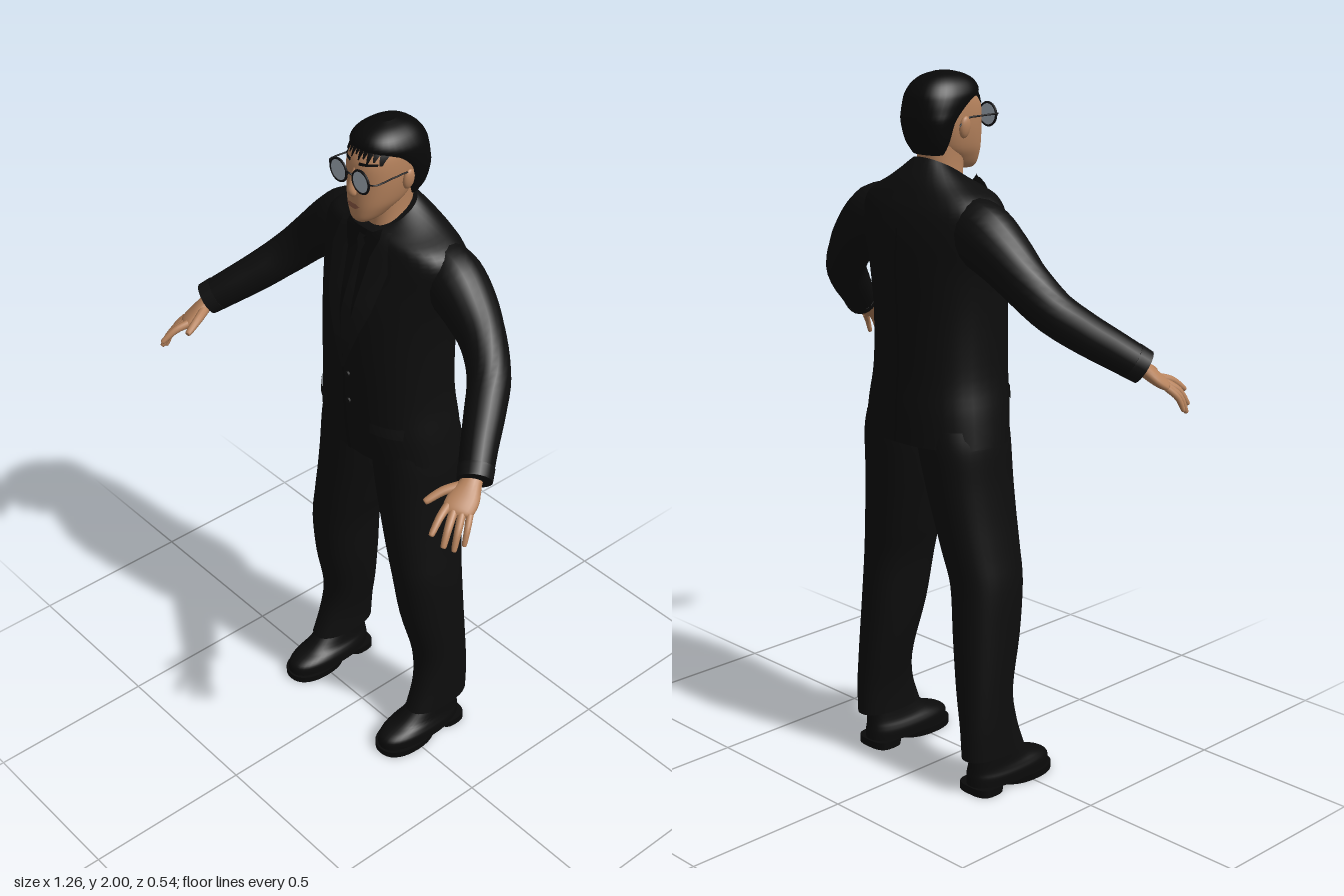
import * as THREE from 'three';

const mat = (name, color) => {
  const m = new THREE.MeshStandardMaterial({ color, side: THREE.DoubleSide });
  m.name = name;
  return m;
};

// Closed surface through rings of points (with flat end caps)
function skin(rings) {
  const n = rings[0].length, pos = [], idx = [];
  rings.forEach(r => r.forEach(p => pos.push(p.x, p.y, p.z)));
  for (let i = 0; i < rings.length - 1; i++) for (let j = 0; j < n; j++) {
    const a = i * n + j, b = i * n + (j + 1) % n;
    idx.push(a, a + n, b, b, a + n, b + n);
  }
  [rings[0], rings[rings.length - 1]].forEach((r, end) => {
    const base = pos.length / 3, c = new THREE.Vector3();
    r.forEach(p => { pos.push(p.x, p.y, p.z); c.addScaledVector(p, 1 / n); });
    pos.push(c.x, c.y, c.z);
    for (let j = 0; j < n; j++) {
      const k = base + (j + 1) % n;
      idx.push(base + n, end ? k : base + j, end ? base + j : k);
    }
  });
  const g = new THREE.BufferGeometry();
  g.setAttribute('position', new THREE.Float32BufferAttribute(pos, 3));
  g.setIndex(idx);
  g.computeVertexNormals();
  return g;
}

// Smoothly subdivide rows of numbers
function smooth(rows, k = 4) {
  const out = [], at = i => rows[Math.max(0, Math.min(rows.length - 1, i))];
  for (let i = 0; i < rows.length - 1; i++) for (let s = 0; s < k; s++) {
    const t = s / k;
    out.push(rows[i].map((b, c) => {
      const a = at(i - 1)[c], d = at(i + 1)[c], e = at(i + 2)[c];
      return b + 0.5 * t * (d - a + t * (2 * a - 5 * b + 4 * d - e + t * (3 * (b - d) + e - a)));
    }));
  }
  out.push(rows[rows.length - 1]);
  return out;
}

// Upright body from rows [y, centreX, halfWidth, zFront, zBack, tilt]
function loft(rows, p = 2.3, n = 36) {
  return skin(rows.map(([y, cx, hx, zf, zb, tilt = 0]) => Array.from({ length: n }, (_, j) => {
    const a = j / n * Math.PI * 2, f = v => Math.sign(v) * Math.abs(v) ** (2 / p);
    const s = f(Math.sin(a));
    return new THREE.Vector3(cx + hx * f(Math.cos(a)), y - tilt * s, (zf + zb) / 2 + (zf - zb) / 2 * s);
  })));
}

// Limb along points [x, y, z, halfWidth, halfThickness]; hint gives the width direction
function limb(points, hint, n = 20) {
  const rows = smooth(points), P = rows.map(r => new THREE.Vector3(r[0], r[1], r[2]));
  return skin(rows.map((r, i) => {
    const t = P[Math.min(i + 1, P.length - 1)].clone().sub(P[Math.max(i - 1, 0)]).normalize();
    const u = new THREE.Vector3(...hint);
    u.addScaledVector(t, -u.dot(t)).normalize();
    const v = u.clone().cross(t);
    return Array.from({ length: n }, (_, j) => {
      const a = j / n * Math.PI * 2;
      return P[i].clone().addScaledVector(u, r[3] * Math.cos(a)).addScaledVector(v, r[4] * Math.sin(a));
    });
  }));
}

// Depth of a loft's front (side 1) or back (side -1) at x, y
function depth(rows, x, y, side, p = 2.3) {
  let i = 0;
  while (i < rows.length - 2 && rows[i + 1][0] < y) i++;
  const a = rows[i], b = rows[i + 1], t = THREE.MathUtils.clamp((y - a[0]) / (b[0] - a[0]), 0, 1);
  const [, , hx, zf, zb] = a.map((v, c) => v + (b[c] - v) * t);
  const q = Math.max(0, 1 - Math.abs(x / hx) ** p) ** (1 / p);
  return (zf + zb) / 2 + side * (zf - zb) / 2 * q;
}

// Thin patch laid on a loft between two downward edges of [x, y] points
function patch(rows, left, right, lift = 0.004, side = 1) {
  const n = 6, pos = [], idx = [], m = left.length - 1, steps = m * 6;
  for (let i = 0; i <= steps; i++) for (let j = 0; j <= n; j++) {
    const k = Math.min(m - 1, Math.floor(i / 6)), t = i / 6 - k, w = j / n;
    const e = c => THREE.MathUtils.lerp(THREE.MathUtils.lerp(left[k][c], left[k + 1][c], t),
      THREE.MathUtils.lerp(right[k][c], right[k + 1][c], t), w);
    pos.push(e(0), e(1), depth(rows, e(0), e(1), side) + side * lift);
    if (i < steps && j < n) {
      const a = i * (n + 1) + j, b = a + n + 1;
      idx.push(...(side > 0 ? [a, b, a + 1, a + 1, b, b + 1] : [a, a + 1, b, a + 1, b + 1, b]));
    }
  }
  const g = new THREE.BufferGeometry();
  g.setAttribute('position', new THREE.Float32BufferAttribute(pos, 3));
  g.setIndex(idx);
  g.computeVertexNormals();
  return g;
}

function mirrored(geo) {
  const g = geo.clone().scale(-1, 1, 1), ix = g.index.array;
  for (let i = 0; i < ix.length; i += 3) [ix[i], ix[i + 1]] = [ix[i + 1], ix[i]];
  return g;
}

export function createModel() {
  const root = new THREE.Group();
  root.name = 'suitedMan';
  const suit = mat('black suit', 0x0d0d0d), shirt = mat('black shirt', 0x090909), trim = mat('suit trim', 0x111111);
  const leather = mat('shoe leather', 0x0b0b0b), hairM = mat('black hair', 0x080808), skinM = mat('skin', 0xb8845e);
  const lip = mat('lips', 0x8f5a45), lens = mat('lens', 0xaab4c0), wire = mat('glasses frame', 0x101012);
  const add = (name, geo, m) => {
    const mesh = new THREE.Mesh(geo, m);
    mesh.name = name;
    root.add(mesh);
    return mesh;
  };
  const pair = (name, geo, m) => { add(name + 'Left', geo, m); add(name + 'Right', mirrored(geo), m); };

  // Jacket
  const torso = smooth([
    [1.01, 0, .225, .042, -.266, 0], [1.1, 0, .213, .054, -.262, 0], [1.2, 0, .197, .06, -.254, 0],
    [1.35, 0, .194, .062, -.254, 0], [1.48, 0, .203, .05, -.26, 0], [1.57, 0, .222, .025, -.258, 0],
    [1.64, 0, .232, .005, -.245, 0], [1.68, 0, .205, -.005, -.23, 0], [1.71, 0, .14, -.012, -.21, .012],
    [1.735, 0, .088, -.025, -.18, .028], [1.745, 0, .068, -.035, -.165, .034]]);
  add('jacket', loft(torso), suit);
  add('shirtFront', patch(torso, [[-.05, 1.705], [-.05, 1.6], [-.005, 1.33]], [[.05, 1.705], [.05, 1.6], [.005, 1.33]], .003), shirt);
  add('tie', patch(torso, [[-.012, 1.69], [-.016, 1.67], [-.008, 1.65], [-.02, 1.45], [-.004, 1.34]],
    [[.012, 1.69], [.016, 1.67], [.008, 1.65], [.02, 1.45], [.004, 1.34]], .006), trim);
  pair('lapel', patch(torso, [[.045, 1.71], [.042, 1.63], [.025, 1.48], [-.004, 1.3]],
    [[.085, 1.72], [.11, 1.62], [.085, 1.5], [.004, 1.3]], .008), trim);
  pair('shirtCollar', patch(torso, [[.022, 1.7], [.01, 1.685], [.04, 1.645]], [[.06, 1.725], [.065, 1.7], [.045, 1.645]], .01), shirt);
  pair('pocketFlap', patch(torso, [[.09, 1.15], [.09, 1.115]], [[.175, 1.145], [.175, 1.11]], .005), trim);
  add('frontSeam', patch(torso, [[-.004, 1.3], [-.006, 1.012]], [[.002, 1.3], [.006, 1.012]], .004), shirt);
  add('backVent', patch(torso, [[-.003, 1.6], [-.003, 1.012]], [[.003, 1.6], [.003, 1.012]], .003, -1), shirt);
  for (const y of [1.28, 1.19]) {
    const b = add('button', new THREE.CylinderGeometry(.008, .008, .006, 12), trim);
    b.rotation.x = Math.PI / 2;
    b.position.set(.014, y, depth(torso, .014, y, 1) + .003);
  }

  // Sleeves and cuffs
  pair('sleeve', limb([[.15, 1.61, -.135, .085, .075], [.21, 1.588, -.135, .092, .082], [.28, 1.54, -.13, .08, .075],
    [.35, 1.475, -.115, .067, .062], [.41, 1.41, -.08, .06, .058], [.46, 1.355, -.02, .056, .055],
    [.51, 1.305, .045, .052, .05], [.555, 1.262, .1, .048, .046]], [0, 1, 0]), suit);
  pair('cuff', limb([[.54, 1.277, .082, .05, .049], [.56, 1.258, .106, .048, .047]], [0, 1, 0]), trim);

  // Hands
  const across = [.8, -.2, -.5];
  pair('palm', limb([[.54, 1.275, .085, .026, .022], [.555, 1.25, .115, .03, .02], [.565, 1.225, .145, .041, .018],
    [.572, 1.205, .175, .04, .014], [.576, 1.197, .185, .028, .008]], across), skinM);
  const fingers = [
    ['thumb', [.54, 1.243, .13], [.517, 1.235, .175], [.503, 1.217, .22], .0125],
    ['indexFinger', [.548, 1.212, .187], [.56, 1.2, .225], [.571, 1.172, .262], .0105],
    ['middleFinger', [.566, 1.205, .182], [.587, 1.178, .22], [.598, 1.14, .245], .0105],
    ['ringFinger', [.585, 1.2, .172], [.605, 1.168, .203], [.613, 1.125, .222], .0098],
    ['littleFinger', [.6, 1.198, .158], [.617, 1.17, .182], [.624, 1.135, .197], .0085]];
  for (const [name, a, b, c, r] of fingers) {
    const tip = c.map((v, i) => v + (c[i] - b[i]) * .08);
    pair(name, limb([[...a, r * 1.15, r * 1.15], [...b, r, r], [...c, r * .75, r * .7], [...tip, r * .2, r * .2]], across, 10), skinM);
  }

  // Trousers
  pair('trouserLeg', loft(smooth([
    [.11, .22, .054, .002, -.215], [.2, .217, .056, -.03, -.216], [.3, .206, .065, -.04, -.213], [.45, .192, .077, -.006, -.207],
    [.6, .18, .084, .014, -.202], [.7, .16, .09, .019, -.213], [.8, .14, .096, .021, -.225], [.9, .122, .104, .022, -.236],
    [1, .109, .111, .022, -.245], [1.06, .105, .105, .02, -.24]])), suit);

  // Shoes
  pair('shoe', loft(smooth([
    [.018, .214, .062, .107, -.19], [.045, .214, .063, .105, -.19], [.062, .214, .058, .082, -.188],
    [.082, .216, .051, .03, -.186], [.13, .218, .046, -.03, -.182]])), leather);
  pair('sole', loft([[0, .214, .065, .112, -.085], [.02, .214, .066, .113, -.095]]), shirt);
  pair('heel', loft([[0, .214, .06, -.1, -.195], [.022, .214, .06, -.095, -.195]], 3), shirt);

  // Neck and head
  add('neck', loft(smooth([[1.66, 0, .058, -.03, -.155], [1.74, 0, .053, -.032, -.155], [1.82, 0, .058, -.02, -.165]])), skinM);
  const skull = smooth([
    [1.737, 0, .022, .018, -.04], [1.748, 0, .035, .027, -.07], [1.77, 0, .05, .03, -.1], [1.8, 0, .065, .031, -.14],
    [1.85, 0, .076, .029, -.165], [1.9, 0, .08, .027, -.18], [1.94, 0, .077, .011, -.175], [1.97, 0, .06, -.015, -.15], [1.985, 0, .03, -.05, -.12]]);
  add('head', loft(skull), skinM);
  add('nose', limb([[0, 1.9, .02, .006, .006], [0, 1.865, .031, .008, .009], [0, 1.838, .036, .013, .012],
    [0, 1.825, .033, .014, .01], [0, 1.818, .028, .006, .004]], [1, 0, 0]), skinM);
  add('mouth', patch(skull, [[-.012, 1.797], [-.024, 1.79], [-.012, 1.782]], [[.012, 1.797], [.024, 1.79], [.012, 1.782]], .003), lip);
  pair('eyebrow', patch(skull, [[.016, 1.917], [.016, 1.909]], [[.06, 1.919], [.06, 1.913]], .003), hairM);
  pair('ear', new THREE.SphereGeometry(1, 16, 12).scale(.011, .03, .018).rotateZ(-.15).translate(.084, 1.858, -.085), skinM);

  // Hair with a jagged fringe
  add('hair', loft(smooth([
    [1.785, 0, .05, -.11, -.166], [1.82, 0, .07, -.1, -.185], [1.87, 0, .083, -.085, -.196], [1.9, 0, .086, -.05, -.197],
    [1.925, 0, .087, -.015, -.195], [1.947, 0, .084, .014, -.19], [1.972, 0, .07, .006, -.172],
    [1.99, 0, .047, -.022, -.145], [2, 0, .018, -.06, -.11]])), hairM);
  for (let i = -5; i <= 5; i++) {
    const x = i * .013, low = 1.932 - (i % 2 ? .008 : 0) - Math.abs(i) * .002;
    add('fringeLock', patch(skull, [[x - .009, 1.955], [x - .002, low]], [[x + .009, 1.955], [x + .002, low]], .005), hairM);
  }

  // Round glasses
  pair('lens', new THREE.CylinderGeometry(.03, .03, .003, 28).rotateX(Math.PI / 2).translate(.043, 1.878, .042), lens);
  pair('rim', new THREE.TorusGeometry(.031, .0033, 8, 32).translate(.043, 1.878, .042), wire);
  const rod = pts => new THREE.TubeGeometry(new THREE.CatmullRomCurve3(pts.map(p => new THREE.Vector3(...p))), 16, .0025, 6);
  add('bridge', rod([[-.014, 1.884, .042], [0, 1.889, .046], [.014, 1.884, .042]]), wire);
  pair('temple', rod([[.073, 1.882, .042], [.089, 1.884, .034], [.09, 1.884, -.03], [.088, 1.88, -.085], [.086, 1.862, -.105]]), wire);
  return root;
}
